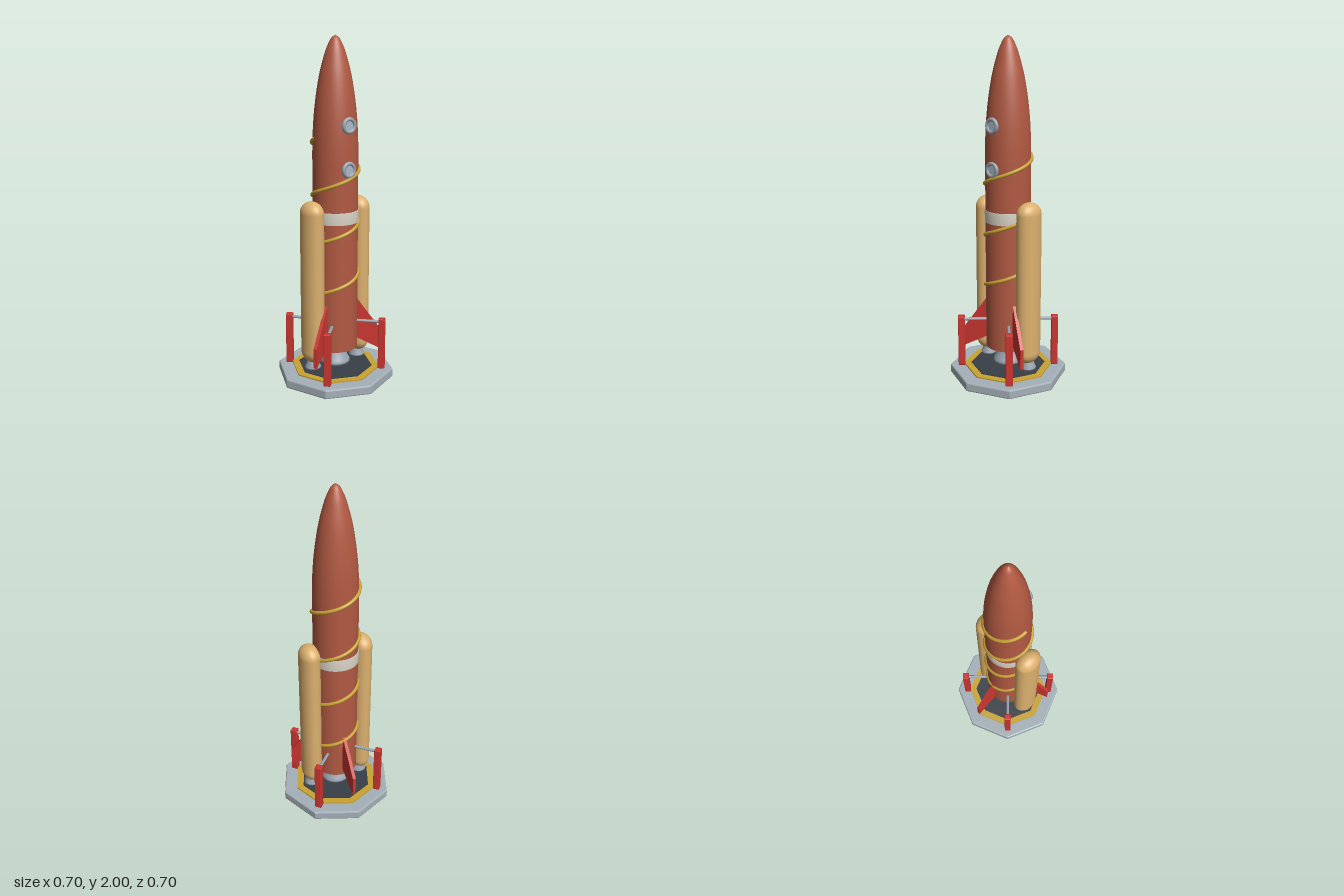
import * as THREE from 'three';
import { RoundedBoxGeometry } from 'three/addons/geometries/RoundedBoxGeometry.js';

const mat = (name, color, side = THREE.FrontSide) => {
  const m = new THREE.MeshStandardMaterial({ color, side });
  m.name = name;
  return m;
};

export function createModel() {
  const root = new THREE.Group();
  root.name = 'rocket';
  const rust = mat('rust hull', 0xb25a42);
  const tan = mat('tan booster', 0xdcb06e);
  const red = mat('red trim', 0xcb3631);
  const yellow = mat('yellow', 0xcaa432);
  const grey = mat('platform grey', 0xa5b0b8);
  const steel = mat('steel', 0x9aa4b0, THREE.DoubleSide);
  const dark = mat('dark deck', 0x383f47);
  const cream = mat('cream band', 0xdad4c6);
  const glass = mat('window glass', 0xa9bac6);

  const add = (name, geometry, material, parent = root) => {
    const mesh = new THREE.Mesh(geometry, material);
    mesh.name = name;
    parent.add(mesh);
    return mesh;
  };
  const lathe = (points, segments = 48) =>
    new THREE.LatheGeometry(points.map(([r, y]) => new THREE.Vector2(r, y)), segments);
  const octagon = (r) => {
    const pts = [];
    for (let i = 0; i < 8; i++) {
      pts.push(new THREE.Vector2(r * Math.cos(i * Math.PI / 4), r * Math.sin(i * Math.PI / 4)));
    }
    return new THREE.Shape(pts);
  };

  // Launch pad: bevelled octagon with two thin painted plates
  const bevel = 0.008;
  const pad = add('launchPad', new THREE.ExtrudeGeometry(octagon(0.34), {
    depth: 0.055 - 2 * bevel, bevelEnabled: true,
    bevelSize: bevel, bevelThickness: bevel, bevelSegments: 2,
  }), grey);
  pad.rotation.x = -Math.PI / 2;
  pad.position.y = 0.003 + bevel;
  [['padStripe', 0.265, 0.058, yellow], ['padDeck', 0.222, 0.062, dark]].forEach(([name, r, y, m]) => {
    const plate = add(name, new THREE.ExtrudeGeometry(octagon(r), { depth: 0.008, bevelEnabled: false }), m);
    plate.rotation.x = -Math.PI / 2;
    plate.position.y = y;
  });

  // Hull: straight tube and smooth rounded nose
  const R = 0.131;
  add('hullBottom', new THREE.CircleGeometry(R, 48).rotateX(Math.PI / 2).translate(0, 0.19, 0), rust);
  add('hull', lathe([[R, 0.19], [R, 1.32]]), rust);
  const nose = new THREE.SplineCurve([
    [R, 1.32], [0.13, 1.4], [0.126, 1.5], [0.118, 1.6], [0.105, 1.7], [0.087, 1.8],
    [0.06, 1.9], [0.041, 1.95], [0.022, 1.985], [0, 2],
  ].map(([r, y]) => new THREE.Vector2(r, y)));
  add('noseCone', new THREE.LatheGeometry(nose.getPoints(36).map((p) => p.setX(Math.max(p.x, 0))), 48), rust);
  add('hullBand', lathe([[R, 0.957], [0.135, 0.957], [0.135, 1.027], [R, 1.027]]), cream);

  // Spiral pipe: three and a half turns climbing the hull
  const coil = [];
  for (let i = 0; i <= 112; i++) {
    const t = i / 112, a = t * 7 * Math.PI;
    coil.push(new THREE.Vector3(0.134 * Math.cos(a), 0.38 + 1.065 * t, -0.134 * Math.sin(a)));
  }
  add('spiralPipe', new THREE.TubeGeometry(new THREE.CatmullRomCurve3(coil), 260, 0.0105, 8), yellow);

  // Main engine nozzle
  add('mainNozzle', lathe([[0.048, 0.195], [0.056, 0.165], [0.066, 0.14], [0.08, 0.112],
    [0.087, 0.1], [0.087, 0.087], [0.076, 0.087], [0.045, 0.17], [0, 0.175]], 32), steel);

  // Side boosters: capsules with an oval section, plus nozzles
  for (const side of [-1, 1]) {
    const booster = new THREE.Group();
    booster.name = side > 0 ? 'leftBooster' : 'rightBooster';
    booster.position.x = side * 0.163;
    root.add(booster);
    const tank = add('boosterTank', new THREE.CapsuleGeometry(0.07, 0.828, 12, 40), tan, booster);
    tank.scale.set(0.062 / 0.07, 1, 0.082 / 0.07);
    tank.position.y = 0.606;
    add('boosterNozzle', lathe([[0.026, 0.16], [0.034, 0.125], [0.047, 0.095],
      [0.047, 0.087], [0.04, 0.087], [0.024, 0.13], [0, 0.132]], 24), steel, booster);
  }

  // Three swept fins
  const finShape = new THREE.Shape([[0.12, 0.235], [0.28, 0.15], [0.28, 0.268], [0.12, 0.49]]
    .map(([x, y]) => new THREE.Vector2(x, y)));
  for (let i = 0; i < 3; i++) {
    const geometry = new THREE.ExtrudeGeometry(finShape, { depth: 0.02, bevelEnabled: false });
    geometry.translate(0, 0, -0.01);
    add('fin', geometry, red).rotation.y = Math.PI / 2 + i * Math.PI * 2 / 3;
  }

  // Four support posts with struts to the hull
  for (let i = 0; i < 4; i++) {
    const support = new THREE.Group();
    support.name = 'support';
    support.rotation.y = Math.PI / 4 + i * Math.PI / 2;
    root.add(support);
    add('supportPost', new RoundedBoxGeometry(0.04, 0.312, 0.04, 2, 0.004), red, support)
      .position.set(0.28, 0.214, 0);
    const strut = add('supportStrut', new THREE.CylinderGeometry(0.009, 0.009, 0.16, 12), steel, support);
    strut.rotation.z = Math.PI / 2;
    strut.position.set(0.195, 0.35, 0);
  }

  // Portholes on the front
  for (const y of [1.27, 1.515]) {
    const porthole = new THREE.Group();
    porthole.name = 'porthole';
    porthole.position.set(0, y, 0.129);
    root.add(porthole);
    add('portholeRing', new THREE.TorusGeometry(0.036, 0.0115, 12, 32), steel, porthole);
    const pane = add('portholeGlass', new THREE.CylinderGeometry(0.034, 0.034, 0.009, 28), glass, porthole);
    pane.rotation.x = Math.PI / 2;
    pane.position.z = -0.001;
  }
  return root;
}
